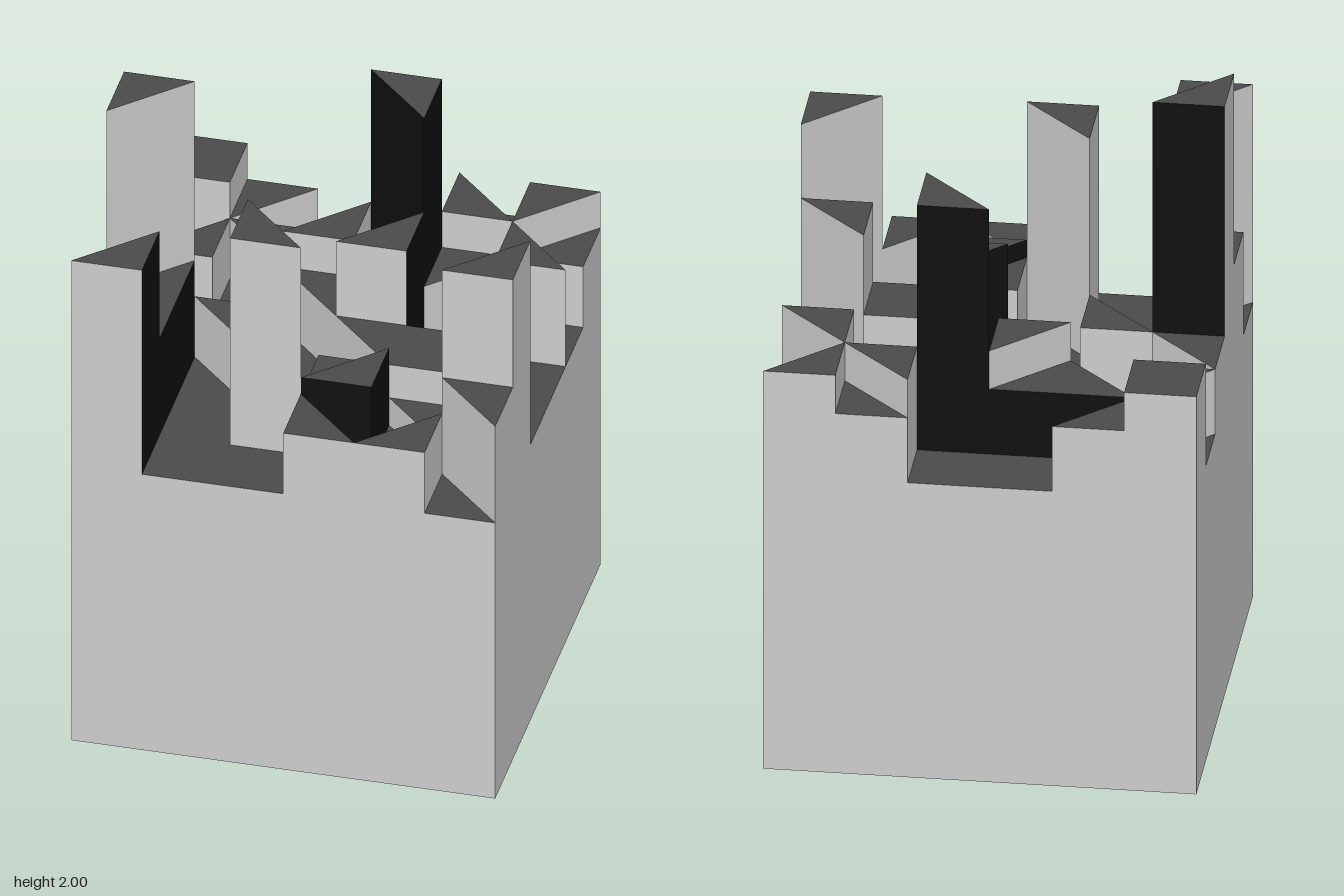
import * as THREE from 'three';

const N = 6, CELL = 0.22, HALF = 0.66;

// Heights of the two triangular halves [back half, front half] of each cell, back row first
const HEIGHTS = [
  [1.35, 1.35, 1.22, 1, 1, 1, 1, 1, 1.22, 1.35, 1.35, 1.22],
  [1, 1.22, 1.22, 1, 1.22, 1.35, 1.83, 1.22, 1.22, 1, 1, 1.35],
  [1, 1.22, 1, 1, 1.22, 1, 1, 1.49, 1, 1, 1, 1],
  [2, 1.35, 1.22, 1, 1, 1, 1.22, 1, 1.22, 1.22, 1, 1.49],
  [1.35, 1.35, 1, 1, 1, 1.75, 1.22, 1.28, 1.1, 1, 1.1, 1.74],
  [1, 1.74, 1, 1, 1, 1, 1, 1.22, 1, 1.22, 1.35, 1],
];

// Walls painted black: column, row, half -> wall directions (x, z or d for diagonal)
const BLACK = {
  '050': '', '051': 'x', '040': 'x', '031': 'x', '030': 'z', '310': 'xzd',
  '321': 'xd', '341': 'xzd', '110': 'z', '210': 'z',
};

// Corners of one half cell; the diagonals alternate from cell to cell
function halfCorners(i, j, half) {
  const a = [i, j], b = [i + 1, j], c = [i + 1, j + 1], d = [i, j + 1];
  if ((i + j) % 2 === 0) return half === 0 ? [a, c, b] : [a, d, c];
  return half === 0 ? [a, d, b] : [b, d, c];
}

const point = ([i, j], y) => [i * CELL - HALF, y, j * CELL - HALF];
const edgeKey = (p, q) => [p.join(), q.join()].sort().join('|');

function makeMesh(name, positions, color) {
  const geometry = new THREE.BufferGeometry();
  geometry.setAttribute('position', new THREE.Float32BufferAttribute(positions, 3));
  geometry.computeVertexNormals();
  const material = new THREE.MeshStandardMaterial({ color, side: THREE.DoubleSide, flatShading: true });
  const mesh = new THREE.Mesh(geometry, material);
  mesh.name = name;
  return mesh;
}

export function createModel() {
  const prisms = [], edges = new Map();
  for (let j = 0; j < N; j++) for (let i = 0; i < N; i++) for (let half = 0; half < 2; half++) {
    const prism = { id: `${i}${j}${half}`, corners: halfCorners(i, j, half), height: HEIGHTS[j][2 * i + half] };
    prisms.push(prism);
    prism.corners.forEach((p, k) => {
      const key = edgeKey(p, prism.corners[(k + 1) % 3]);
      edges.set(key, [...(edges.get(key) || []), prism]);
    });
  }

  const tops = [], walls = [], blackWalls = [];
  for (const prism of prisms) {
    // Flat triangular top
    for (const p of prism.corners) tops.push(...point(p, prism.height));

    // Walls down to the lower neighbour, or to the ground on the outside; the underside is open
    prism.corners.forEach((p, k) => {
      const q = prism.corners[(k + 1) % 3];
      const other = edges.get(edgeKey(p, q)).find((o) => o !== prism);
      const low = other ? other.height : 0;
      if (low >= prism.height) return;
      const direction = p[0] === q[0] ? 'x' : p[1] === q[1] ? 'z' : 'd';
      const black = other && (BLACK[prism.id] || '').includes(direction);
      const a = point(p, low), b = point(q, low), c = point(q, prism.height), d = point(p, prism.height);
      (black ? blackWalls : walls).push(...a, ...b, ...c, ...a, ...c, ...d);
    });
  }

  const model = new THREE.Group();
  model.name = 'steppedBlock';
  model.add(
    makeMesh('blockWalls', walls, 0xcccccc),
    makeMesh('blackWalls', blackWalls, 0x101010),
    makeMesh('columnTops', tops, 0x4a4a4a),
  );
  return model;
}
